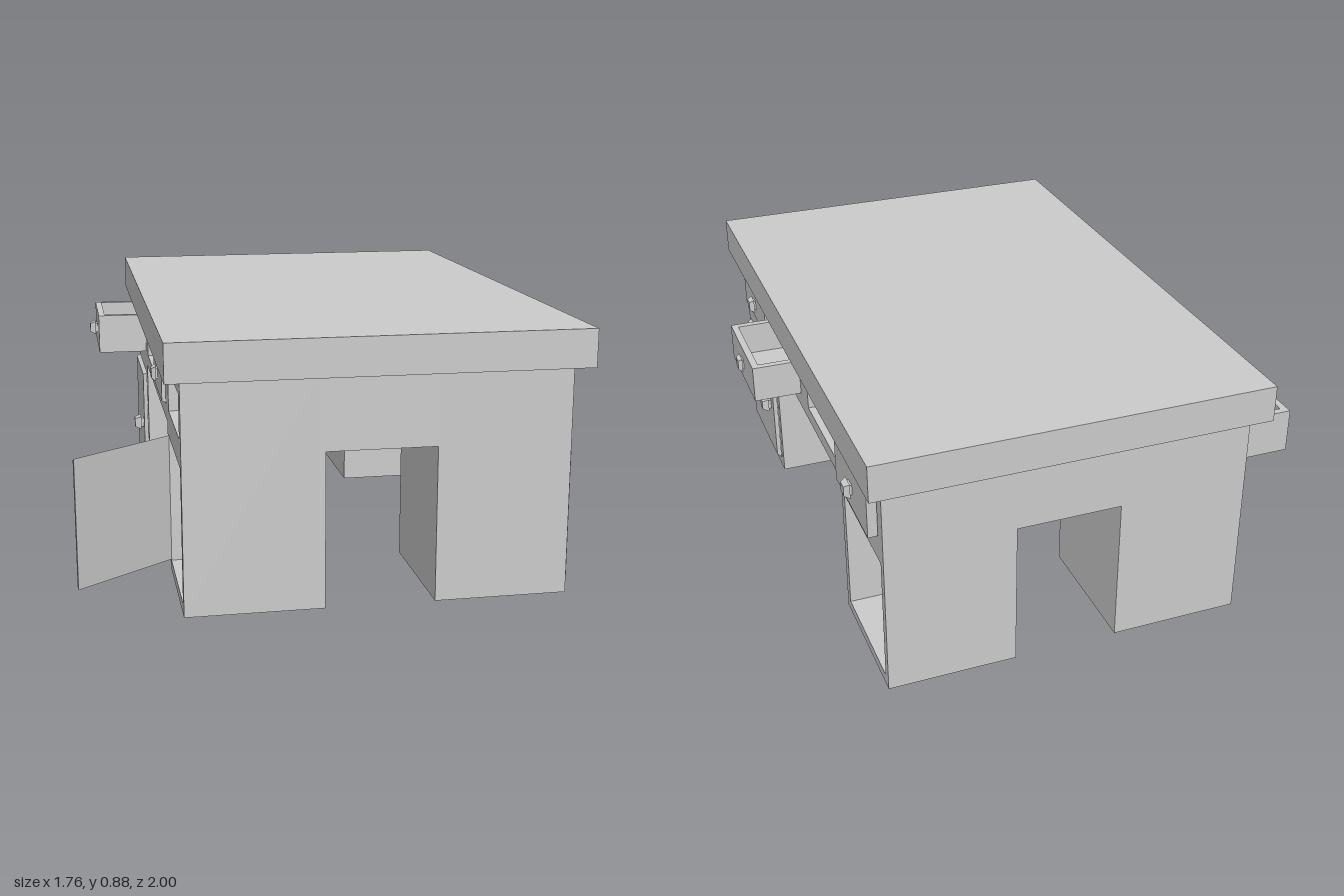
import * as THREE from 'three';

const mat = new THREE.MeshStandardMaterial({ color: 0xcccccc, flatShading: true, side: THREE.DoubleSide });

function mesh(geo, name, x = 0, y = 0, z = 0) {
  const m = new THREE.Mesh(geo, mat);
  m.name = name;
  m.position.set(x, y, z);
  return m;
}

// box given by its minimum and maximum corners
function box(name, x0, x1, y0, y1, z0, z1) {
  return mesh(new THREE.BoxGeometry(x1 - x0, y1 - y0, z1 - z0), name,
    (x0 + x1) / 2, (y0 + y1) / 2, (z0 + z1) / 2);
}

// block whose +x face is inset on all sides; its back lies on x = 0
function bevelled(depth, h, w, inset) {
  const g = new THREE.BoxGeometry(depth, h, w).translate(depth / 2, 0, 0);
  const p = g.attributes.position;
  for (let i = 0; i < p.count; i++) {
    if (p.getX(i) < depth / 2) continue;
    p.setY(i, p.getY(i) - Math.sign(p.getY(i)) * inset);
    p.setZ(i, p.getZ(i) - Math.sign(p.getZ(i)) * inset);
  }
  g.computeVertexNormals();
  return g;
}

// square knob: short neck and tapered head, pointing to +x
function knob(depth) {
  const g = new THREE.Group();
  g.name = 'knob';
  g.add(mesh(new THREE.BoxGeometry(depth * 0.3, 0.036, 0.036), 'knobNeck', depth * 0.15));
  g.add(mesh(bevelled(depth * 0.7, 0.052, 0.052, 0.009), 'knobHead', depth * 0.3));
  return g;
}

// rectangular outline in the (z, y) plane
function rect(path, z0, z1, y0, y1) {
  path.moveTo(z0, y0);
  path.lineTo(z0, y1);
  path.lineTo(z1, y1);
  path.lineTo(z1, y0);
  path.closePath();
  return path;
}

// arch-shaped carcass slice, optionally pierced by the drawer and cupboard openings
function carcass(name, x0, x1, open) {
  const s = new THREE.Shape();
  [[-0.945, 0], [-0.472, 0], [-0.472, 0.515], [0.472, 0.515], [0.472, 0], [0.945, 0], [0.945, 0.76], [-0.945, 0.76]]
    .forEach(([z, y], i) => (i ? s.lineTo(z, y) : s.moveTo(z, y)));
  if (open) {
    for (const side of [-1, 1]) {
      for (const c of [0.237, 0.712])
        s.holes.push(rect(new THREE.Path(), side * c - 0.185, side * c + 0.185, 0.565, 0.708));
      s.holes.push(rect(new THREE.Path(), side * 0.71 - 0.205, side * 0.71 + 0.205, 0.035, 0.475));
    }
  }
  const g = new THREE.ExtrudeGeometry(s, { depth: x1 - x0, bevelEnabled: false });
  return mesh(g.rotateY(Math.PI / 2), name, x0);
}

// open-topped drawer with its face ending at x = 0 and its box running to -x
function drawer(name, { x, z, side, h, w, knobDepth, bevel = 0 }) {
  const g = new THREE.Group();
  const d = 0.42, t = 0.024, b = h / 2, a = w / 2;
  g.name = name;
  g.add(mesh(bevelled(t, h, w, bevel), 'drawerFront', -t));
  g.add(box('drawerBottom', -d, -t, -b, -b + 0.015, -a, a));
  g.add(box('drawerBack', -d, -d + t, -b, b, -a, a));
  for (const s of [-1, 1])
    g.add(mesh(new THREE.BoxGeometry(d - t, h, t), 'drawerSide', -(d + t) / 2, 0, s * (a - t / 2)));
  g.add(knob(knobDepth));
  g.position.set(x, 0.636, z);
  if (side < 0) g.rotation.y = Math.PI;
  return g;
}

// door hung on its hinge line, reaching to local -z
function door(name, x, z, angle) {
  const g = new THREE.Group();
  const w = 0.405;
  g.name = name;
  g.add(mesh(bevelled(0.015, 0.437, w, 0.008), 'doorPanel', 0, 0.257, -w / 2));
  const k = knob(0.035);
  k.position.set(0.015, 0.257, -w + 0.07);
  g.add(k);
  g.position.set(x, 0, z);
  g.rotation.y = angle;
  return g;
}

export function createModel() {
  const desk = new THREE.Group();
  desk.name = 'desk';

  desk.add(box('deskTop', -0.61, 0.742, 0.76, 0.885, -1, 1));

  // two pierced carcass halves with back panels, joined over the tunnel
  desk.add(carcass('carcassRight', -0.56, -0.13, true));
  desk.add(carcass('backPanelRight', -0.13, -0.11, false));
  desk.add(box('bridge', -0.11, 0.25, 0.515, 0.76, -0.945, 0.945));
  desk.add(carcass('backPanelLeft', 0.25, 0.27, false));
  desk.add(carcass('carcassLeft', 0.27, 0.69, true));

  // drawers on the +x side
  desk.add(drawer('closedDrawerLeftFront', { x: 0.707, z: 0.712, side: 1, h: 0.135, w: 0.366, knobDepth: 0.025, bevel: 0.004 }));
  desk.add(drawer('openDrawerLeft', { x: 0.857, z: 0.237, side: 1, h: 0.13, w: 0.37, knobDepth: 0.02 }));
  desk.add(drawer('closedDrawerLeftBack', { x: 0.72, z: -0.71, side: 1, h: 0.15, w: 0.36, knobDepth: 0.027 }));

  // drawers on the -x side
  desk.add(drawer('openDrawerRight', { x: -0.745, z: -0.712, side: -1, h: 0.15, w: 0.356, knobDepth: 0.03 }));
  desk.add(drawer('closedDrawerRight', { x: -0.573, z: 0.237, side: -1, h: 0.135, w: 0.368, knobDepth: 0.022, bevel: 0.004 }));

  // cupboard doors, the last one swung open
  desk.add(door('closedDoorLeft', 0.69, 0.917, 0));
  desk.add(door('closedDoorRight', -0.56, -0.917, Math.PI));
  desk.add(door('openDoorRight', -0.555, 0.502, 2.214));

  return desk;
}
